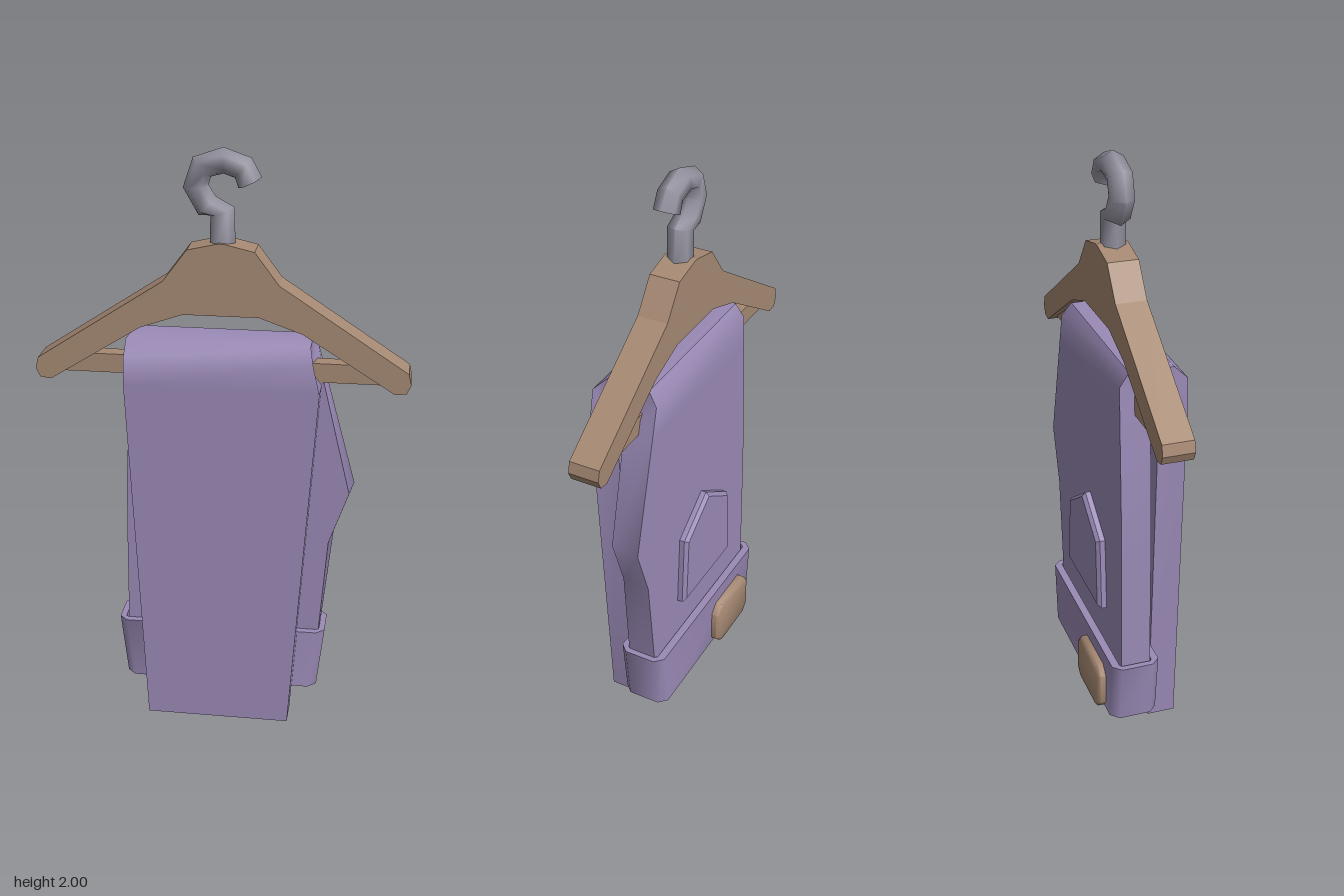
import * as THREE from 'three';
import { toCreasedNormals } from 'three/addons/utils/BufferGeometryUtils.js';

const material = (name, color) => {
  const m = new THREE.MeshStandardMaterial({ color });
  m.name = name;
  return m;
};

// Skins a list of equal-sized rings; crease is the angle kept smooth
function loft(rings, capped, crease) {
  const n = rings[0].length, index = [];
  for (let s = 0; s < rings.length - 1; s++) {
    for (let k = 0; k < n; k++) {
      const a = s * n + k, b = s * n + (k + 1) % n;
      index.push(a, b, b + n, a, b + n, a + n);
    }
  }
  if (capped) {
    const e = (rings.length - 1) * n;
    for (let k = 1; k < n - 1; k++) index.push(0, k + 1, k, e, e + k, e + k + 1);
  }
  const g = new THREE.BufferGeometry();
  g.setAttribute('position', new THREE.Float32BufferAttribute(rings.flat(2), 3));
  g.setIndex(index);
  return toCreasedNormals(g, crease);
}

const polygon = pts => new THREE.Shape(pts.map(p => new THREE.Vector2(...p)));

// Mirrors a half outline running from the right side to the left
const mirrored = pts => [...pts, ...pts.map(([x, y]) => [-x, y]).reverse()];

export function createModel() {
  const model = new THREE.Group();
  const cloth = material('purple cloth', 0x9a8ab6);
  const wood = material('brown wood', 0xa68973);
  const metal = material('grey metal', 0x93919e);
  const add = (name, geometry, mat) => {
    const mesh = new THREE.Mesh(geometry, mat);
    mesh.name = name;
    model.add(mesh);
    return mesh;
  };

  // Hanger shoulders
  const frame = polygon(mirrored([
    [0.125, 1.46], [0.268, 1.41], [0.575, 1.217], [0.612, 1.222], [0.626, 1.252],
    [0.617, 1.29], [0.19, 1.57], [0.11, 1.677], [0.01, 1.7],
  ]));
  add('hangerFrame', new THREE.ExtrudeGeometry(frame, { depth: 0.105, bevelEnabled: false }), wood)
    .position.z = -0.056;

  // Cross bar
  add('hangerBar', new THREE.BoxGeometry(1.12, 0.065, 0.056), wood).position.set(0, 1.272, -0.004);

  // Six-sided hook swept along its centre line
  const path = [
    [0, 1.68], [0, 1.795], [-0.05, 1.812], [-0.086, 1.874], [-0.066, 1.936],
    [0.003, 1.958], [0.066, 1.936], [0.088, 1.89],
  ].map(p => new THREE.Vector2(...p));
  const hookRings = path.map((p, i) => {
    const t = path[Math.min(i + 1, path.length - 1)].clone().sub(path[Math.max(i - 1, 0)]).normalize();
    return Array.from({ length: 6 }, (_, k) => {
      const a = k * Math.PI / 3, c = 0.042 * Math.cos(a);
      return [p.x - t.y * c, p.y + t.x * c, 0.042 * Math.sin(a)];
    });
  });
  add('hook', loft(hookRings, true, 1.2), metal);

  // Folded trousers: [outer z, outer y, inner z, inner y, right x, left x] over the bar
  const drape = [
    [0.147, 0, 0.05, 0, -0.245, 0.25],
    [0.147, 1.24, 0.05, 1.24, -0.308, 0.335],
    [0.147, 1.34, 0.05, 1.27, -0.305, 0.312],
    [0.1, 1.386, 0.045, 1.29, -0.305, 0.3],
    [-0.05, 1.386, 0.025, 1.29, -0.305, 0.3],
    [-0.082, 1.34, 0.02, 1.27, -0.307, 0.312],
    [-0.082, 1.23, 0.02, 1.23, -0.312, 0.342],
    [-0.082, 0.84, 0.02, 0.84, -0.331, 0.448],
    [-0.082, 0.65, 0.02, 0.65, -0.334, 0.382],
    [-0.082, 0.22, 0.02, 0.22, -0.337, 0.338],
  ];
  const legRings = drape.map(([oz, oy, iz, iy, r, l], i) => {
    const inset = i === 7 || i === 8 ? 0.012 : 0;
    return [[r, oy, oz], [l, oy, oz], [l - inset, iy, iz], [r, iy, iz]];
  });
  add('foldedTrousers', loft(legRings, true, 0.85), cloth);

  // Turned-up cuff: a tapered hollow band
  const band = (hw, y, z0, z1, c) => [
    [-hw + c, z1], [hw - c, z1], [hw, z1 - c], [hw, z0 + c],
    [hw - c, z0], [-hw + c, z0], [-hw, z0 + c], [-hw, z1 - c],
  ].map(([x, z]) => [x, y, z]);
  const cuffRings = [
    band(0.342, 0.088, -0.117, 0.05, 0.028), band(0.367, 0.31, -0.117, 0.05, 0.028),
    band(0.346, 0.31, -0.09, 0.025, 0.008), band(0.315, 0.088, -0.09, 0.025, 0.008),
    band(0.342, 0.088, -0.117, 0.05, 0.028),
  ];
  add('cuff', loft(cuffRings, false, 0.9), cloth);

  // Pocket on the back leg
  const pocket = polygon([
    [-0.163, 0.452], [0.163, 0.452], [0.148, 0.695], [0, 0.793], [-0.148, 0.695],
  ]);
  add('pocket', new THREE.ExtrudeGeometry(pocket, {
    depth: 0.034, bevelThickness: 0.012, bevelSize: 0.012, bevelSegments: 1,
  }), cloth).position.z = -0.1;

  // Patch on the cuff, with cut corners
  const x0 = -0.26, x1 = -0.038, y0 = 0.09, y1 = 0.245, c = 0.025;
  const patch = polygon([
    [x0 + c, y0], [x1 - c, y0], [x1, y0 + c], [x1, y1 - c],
    [x1 - c, y1], [x0 + c, y1], [x0, y1 - c], [x0, y0 + c],
  ]);
  const patchGeometry = new THREE.ExtrudeGeometry(patch, {
    depth: 0.05, bevelThickness: 0.01, bevelSize: 0.011, bevelSegments: 1,
  });
  add('cuffPatch', toCreasedNormals(patchGeometry, 0.9), wood).position.z = -0.136;

  return model;
}
